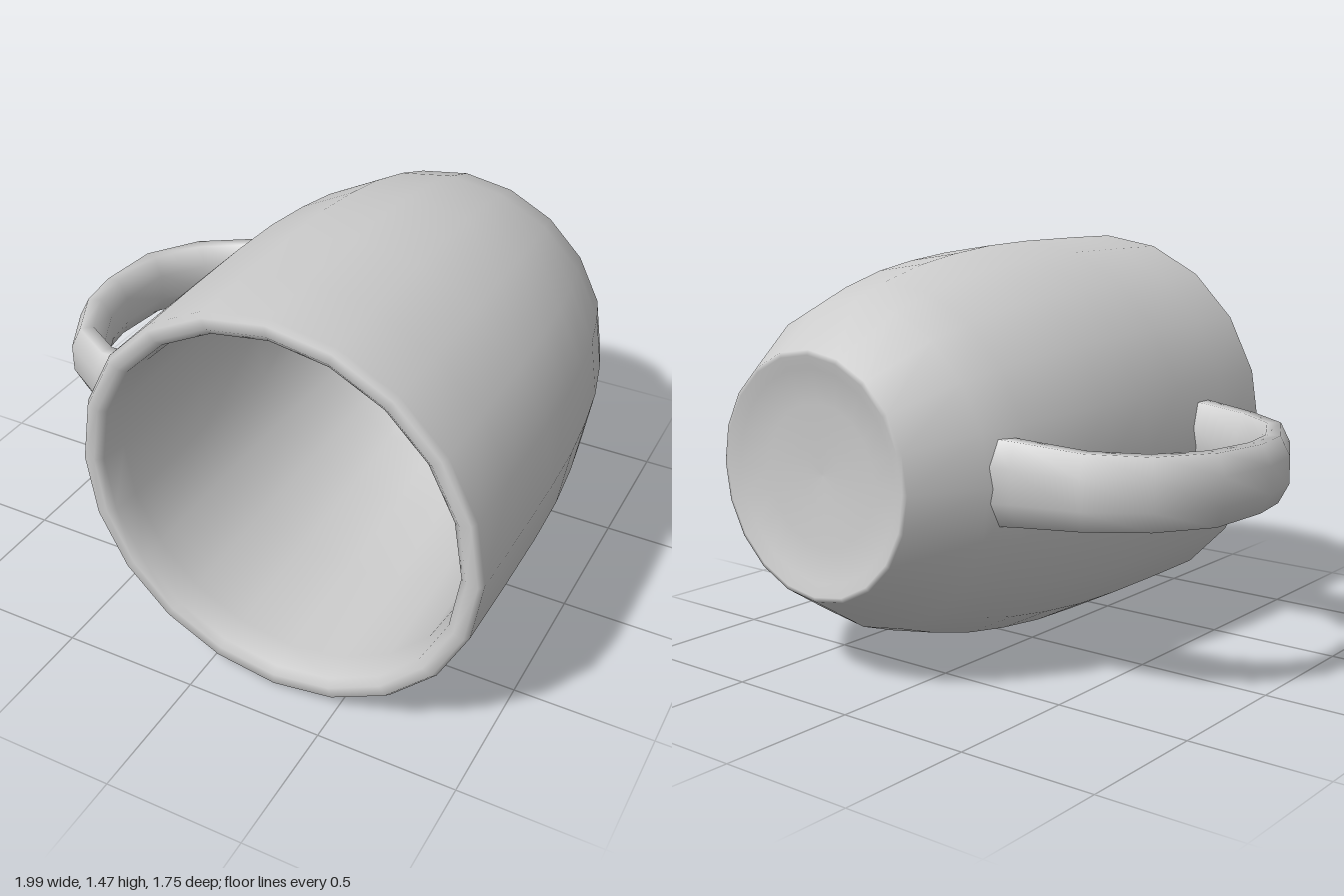
import * as THREE from 'three';

const AXIS_X = 0.26, AXIS_Y = 0.735;

// Tapered ring loft along a path in the xz plane: stations are [x, z, halfThickness, halfHeight]
function loftHandle(stations, y, sides) {
  const pos = [], index = [];
  stations.forEach(([x, z, t, h], i) => {
    const a = stations[Math.max(i - 1, 0)], b = stations[Math.min(i + 1, stations.length - 1)];
    const dx = b[0] - a[0], dz = b[1] - a[1], len = Math.hypot(dx, dz);
    const nx = -dz / len, nz = dx / len;
    for (let j = 0; j < sides; j++) {
      const ang = (j + 0.5) / sides * Math.PI * 2;
      const c = Math.cos(ang) * t * 1.06, s = Math.sin(ang) * h * 1.06;
      pos.push(x + nx * c, y + s, z + nz * c);
      if (i < stations.length - 1) {
        const p = i * sides + j, q = i * sides + (j + 1) % sides;
        index.push(p, q, p + sides, q, q + sides, p + sides);
      }
    }
  });
  const geo = new THREE.BufferGeometry();
  geo.setAttribute('position', new THREE.Float32BufferAttribute(pos, 3));
  geo.setIndex(index);
  geo.computeVertexNormals();
  return geo;
}

export function createModel() {
  const group = new THREE.Group();
  group.name = 'mug';
  const material = new THREE.MeshStandardMaterial({ color: 0xcccccc, side: THREE.DoubleSide });

  // Body: recessed base, bulging outside wall, rounded rim, inside wall and floor
  const profile = [
    [0, -0.82], [0.25, -0.83], [0.37, -0.855], [0.415, -0.875], [0.432, -0.87],
    [0.58, -0.64], [0.632, -0.49], [0.68, -0.3], [0.708, -0.12], [0.728, 0.08],
    [0.735, 0.3], [0.735, 0.6], [0.732, 0.85], [0.718, 0.872], [0.68, 0.872],
    [0.655, 0.85], [0.642, 0.75], [0.64, 0.3], [0.61, -0.1], [0.56, -0.4],
    [0.48, -0.61], [0.36, -0.72], [0, -0.75],
  ].map(([r, z]) => new THREE.Vector2(r, z));
  const bodyGeo = new THREE.LatheGeometry(profile, 20);
  bodyGeo.rotateX(Math.PI / 2);
  const body = new THREE.Mesh(bodyGeo, material);
  body.name = 'body';
  body.position.set(AXIS_X, AXIS_Y, 0);
  group.add(body);

  // Handle: flattened loop with flared roots sunk into the wall
  const handle = new THREE.Mesh(loftHandle([
    [-0.29, -0.56, 0.075, 0.15], [-0.37, -0.545, 0.068, 0.145], [-0.61, -0.51, 0.065, 0.13],
    [-0.79, -0.405, 0.062, 0.125], [-0.91, -0.23, 0.06, 0.125], [-0.935, 0, 0.062, 0.12],
    [-0.91, 0.16, 0.062, 0.12], [-0.81, 0.35, 0.062, 0.125], [-0.65, 0.45, 0.06, 0.13],
    [-0.47, 0.46, 0.085, 0.15], [-0.42, 0.46, 0.088, 0.152],
  ], 0.745, 8), material);
  handle.name = 'handle';
  group.add(handle);

  return group;
}
